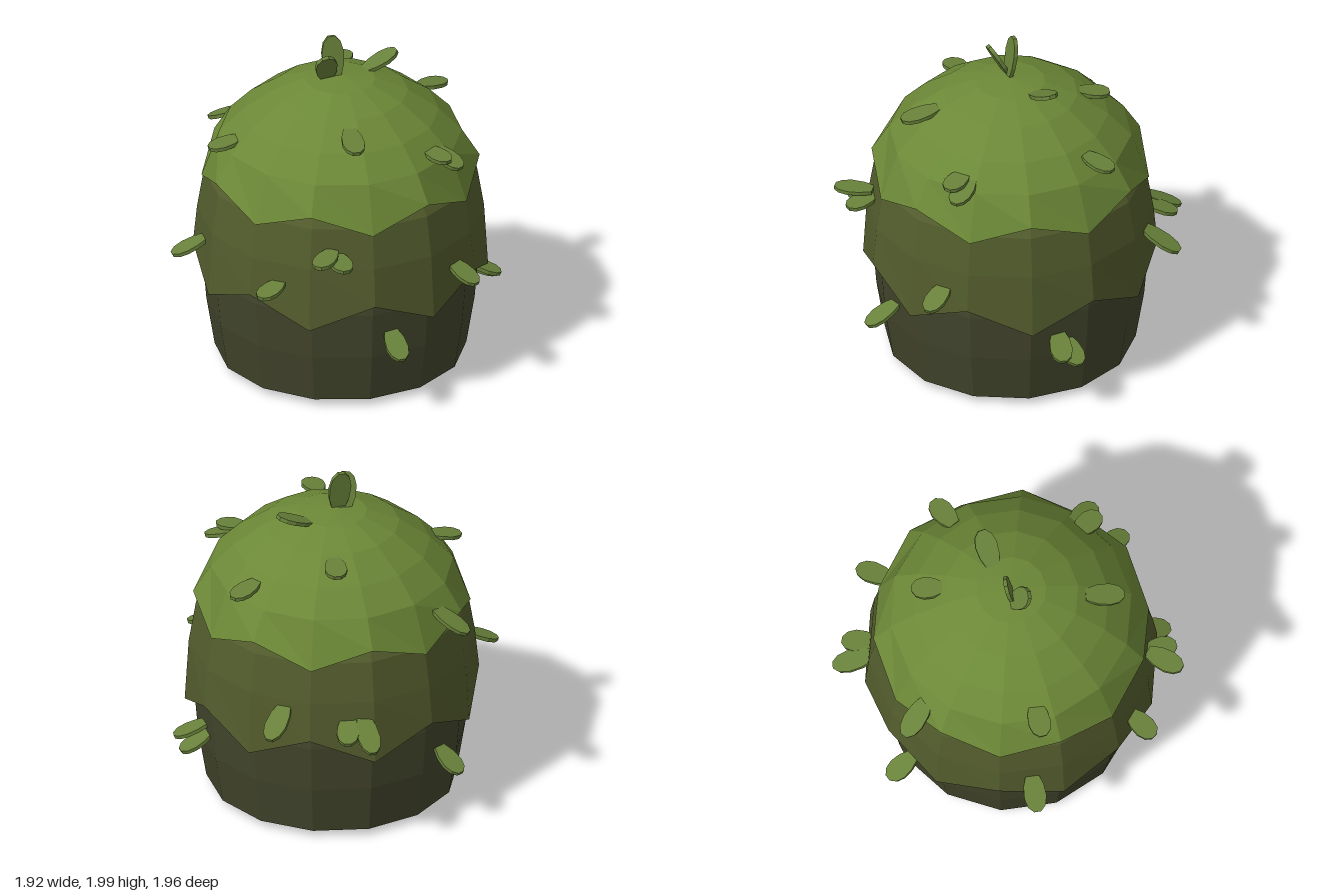
import * as THREE from 'three';

const SIDES = 14;
const CENTRE = [0.025, 0, 0.04];

const material = (color) => new THREE.MeshStandardMaterial({ color, flatShading: true, side: THREE.DoubleSide });

// Faceted shell of revolution, profile [radius, y] from bottom to top.
// The first `zigRows` rows are raised and lowered on alternate corners.
function shell(name, profile, color, zigRows = 0, zig = 0) {
  const geo = new THREE.LatheGeometry(profile.map(([r, y]) => new THREE.Vector2(r, y)), SIDES);
  const pos = geo.attributes.position;
  for (let i = 0; i <= SIDES; i++) {
    for (let j = 0; j < zigRows; j++) {
      const k = i * profile.length + j;
      pos.setY(k, pos.getY(k) + (i % 2 ? -zig : zig));
    }
  }
  const mesh = new THREE.Mesh(geo, material(color));
  mesh.name = name;
  mesh.position.set(...CENTRE);
  return mesh;
}

// Thin blunt leaf of unit length along +y
function leafGeometry(length) {
  const half = [[0.035, 0], [0.058, 0.3], [0.064, 0.62], [0.05, 0.86], [0.02, 1]];
  const right = half.map(([x, y]) => new THREE.Vector2(x, y * length));
  const left = half.map(([x, y]) => new THREE.Vector2(-x, y * length)).reverse();
  const geo = new THREE.ExtrudeGeometry(new THREE.Shape([...right, ...left]), { depth: 0.022, bevelEnabled: false });
  return geo.translate(0, 0, -0.011);
}

function leaf(base, tip, facing, mat) {
  const from = new THREE.Vector3(...base);
  const dir = new THREE.Vector3(...tip).sub(from);
  const mesh = new THREE.Mesh(leafGeometry(dir.length()), mat);
  dir.normalize();
  const side = new THREE.Vector3().crossVectors(dir, facing).normalize();
  const normal = new THREE.Vector3().crossVectors(side, dir);
  mesh.quaternion.setFromRotationMatrix(new THREE.Matrix4().makeBasis(side, dir, normal));
  mesh.position.copy(from);
  mesh.name = 'leaf';
  return mesh;
}

export function createModel() {
  const model = new THREE.Group();
  model.name = 'bush';

  // Three overlapping tiers of foliage
  model.add(
    shell('lowerTier', [[0, 0.02], [0.3, 0.015], [0.58, 0.008], [0.715, 0.05], [0.762, 0.34], [0.785, 0.62], [0.77, 0.8]], 0x42452c),
    shell('middleTier', [[0.74, 0.665], [0.838, 0.625], [0.815, 0.93], [0.775, 1.17], [0.68, 1.32]], 0x535c2d, 2, 0.075),
    shell('topTier', [[0.72, 1.205], [0.79, 1.19], [0.69, 1.41], [0.56, 1.545], [0.385, 1.67], [0.2, 1.745], [0, 1.77]], 0x6c8837, 2, -0.06),
  );

  // Leaves sticking out, each given as base and tip
  const mat = material(0x68813a);
  const leaves = new THREE.Group();
  leaves.name = 'leaves';
  const flat = [
    // crown
    [[0.18, 1.735, -0.04], [0.38, 1.82, -0.08]],
    [[-0.025, 1.63, 0.46], [-0.035, 1.59, 0.68]],
    [[0.13, 1.645, -0.34], [0.16, 1.62, -0.51]],
    [[0.42, 1.465, 0.47], [0.52, 1.44, 0.62]],
    [[0.49, 1.45, 0.46], [0.59, 1.385, 0.61]],
    [[0.55, 1.5, -0.21], [0.72, 1.47, -0.31]],
    [[-0.57, 1.46, 0.09], [-0.76, 1.425, 0.11]],
    [[-0.41, 1.33, -0.5], [-0.57, 1.22, -0.66]],
    // middle
    [[-0.76, 0.825, 0.045], [-0.96, 0.74, 0.05]],
    [[-0.2, 1.045, 0.79], [-0.33, 1.04, 0.97]],
    [[-0.19, 1.02, 0.78], [-0.16, 0.99, 0.96]],
    [[-0.47, 0.81, 0.65], [-0.62, 0.78, 0.77]],
    [[0.53, 0.81, 0.63], [0.64, 0.73, 0.79]],
    [[0.49, 0.89, -0.58], [0.64, 0.77, -0.75]],
    [[0.08, 0.83, -0.74], [0.09, 0.71, -0.97]],
    [[0.16, 0.82, -0.72], [0.22, 0.75, -0.9]],
    // lower
    [[0.14, 0.49, 0.77], [0.16, 0.39, 0.97]],
    [[0.76, 0.485, 0.04], [0.95, 0.405, 0.08]],
    [[0.76, 0.44, 0], [0.94, 0.355, -0.02]],
    [[-0.42, 0.46, -0.58], [-0.5, 0.36, -0.74]],
  ];
  const up = new THREE.Vector3(0, 1, 0);
  for (const [base, tip] of flat) leaves.add(leaf(base, tip, up, mat));

  // Upright sprout on the very top
  const front = new THREE.Vector3(0, 0, 1);
  leaves.add(leaf([-0.01, 1.75, 0.04], [-0.02, 2, 0], front, mat));
  leaves.add(leaf([-0.05, 1.75, 0.03], [-0.085, 1.93, 0.13], front, mat));
  model.add(leaves);

  return model;
}
